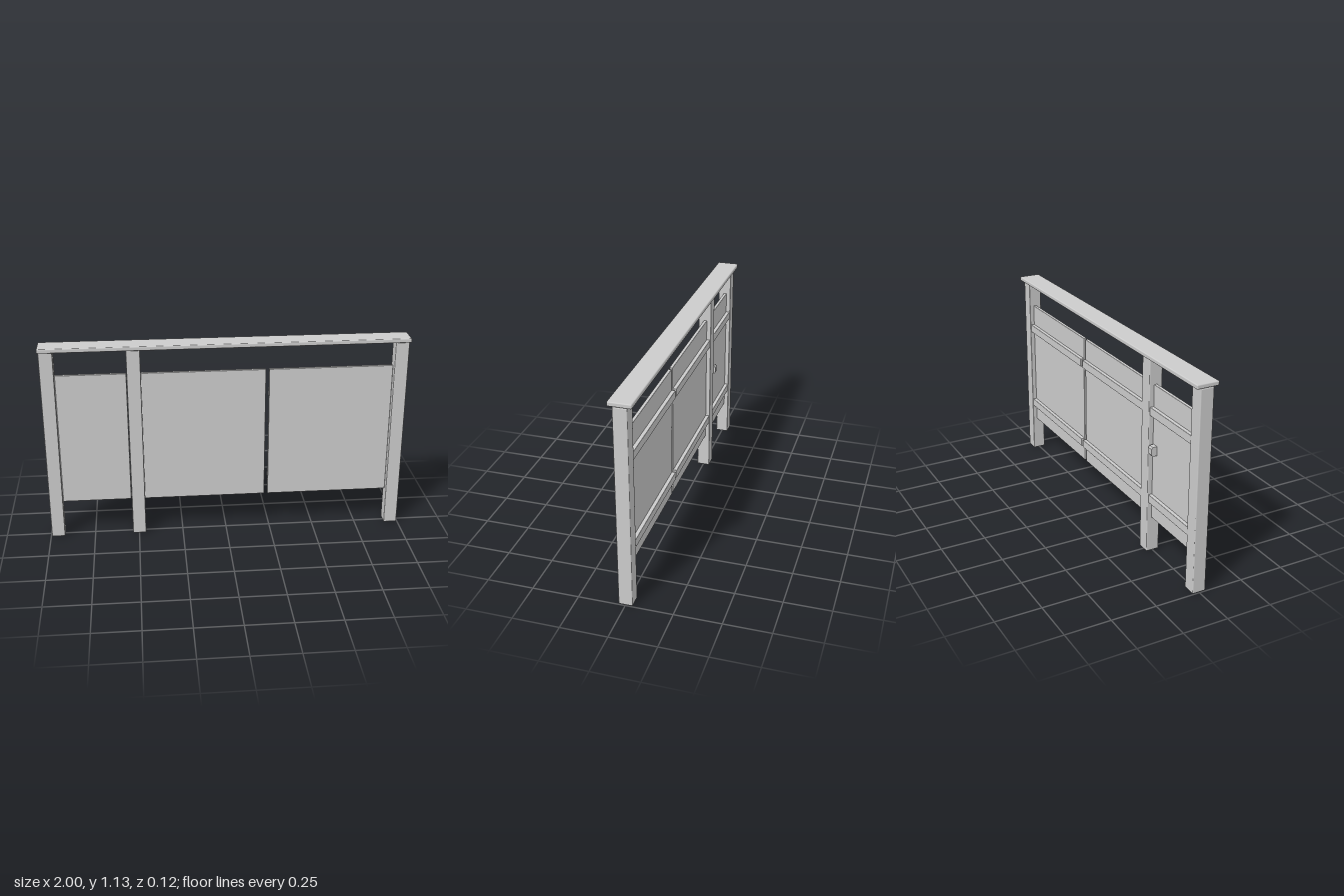
import * as THREE from 'three';
import { RoundedBoxGeometry } from 'three/addons/geometries/RoundedBoxGeometry.js';

const material = new THREE.MeshStandardMaterial({ color: 0xcccccc });

// Softly rounded board given by its min/max extents
function board(name, [x0, x1], [y0, y1], [z0, z1], radius) {
  const mesh = new THREE.Mesh(
    new RoundedBoxGeometry(x1 - x0, y1 - y0, z1 - z0, 2, radius), material);
  mesh.position.set((x0 + x1) / 2, (y0 + y1) / 2, (z0 + z1) / 2);
  mesh.name = name;
  return mesh;
}

export function createModel() {
  const model = new THREE.Group();
  model.name = 'fenceWithGate';

  // Three square posts
  const posts = { rightPost: -0.958, gatePost: -0.498, leftPost: 0.958 };
  for (const [name, x] of Object.entries(posts))
    model.add(board(name, [x - 0.0375, x + 0.0375], [0, 1.104], [-0.037, 0.037], 0.005));

  // Handrail across the top
  model.add(board('handrail', [-1, 1], [1.106, 1.13], [-0.061, 0.061], 0.006));

  // Panels with two battens on the back of each
  const panels = { gate: [-0.92, -0.538], middle: [-0.461, 0.219], left: [0.237, 0.92] };
  for (const [name, span] of Object.entries(panels)) {
    const group = new THREE.Group();
    group.name = name + 'Section';
    group.add(board(name + 'Panel', span, [0.204, 0.96], [-0.013, 0.005], 0.003));
    for (const [label, y] of [['Lower', 0.322], ['Upper', 0.818]])
      group.add(board(name + label + 'Batten', span, [y - 0.023, y + 0.023], [-0.034, -0.012], 0.003));
    model.add(group);
  }

  // Gate latch: chamfered block on the back of the gate
  const outline = new THREE.Shape([
    [-0.012, 0.583], [-0.038, 0.583], [-0.045, 0.593],
    [-0.045, 0.625], [-0.038, 0.635], [-0.012, 0.635],
  ].map(([z, y]) => new THREE.Vector2(-z, y)));
  const latch = new THREE.Mesh(
    new THREE.ExtrudeGeometry(outline, { depth: 0.034, bevelEnabled: false }), material);
  latch.rotation.y = Math.PI / 2;
  latch.position.x = -0.581;
  latch.name = 'gateLatch';
  model.add(latch);

  return model;
}
